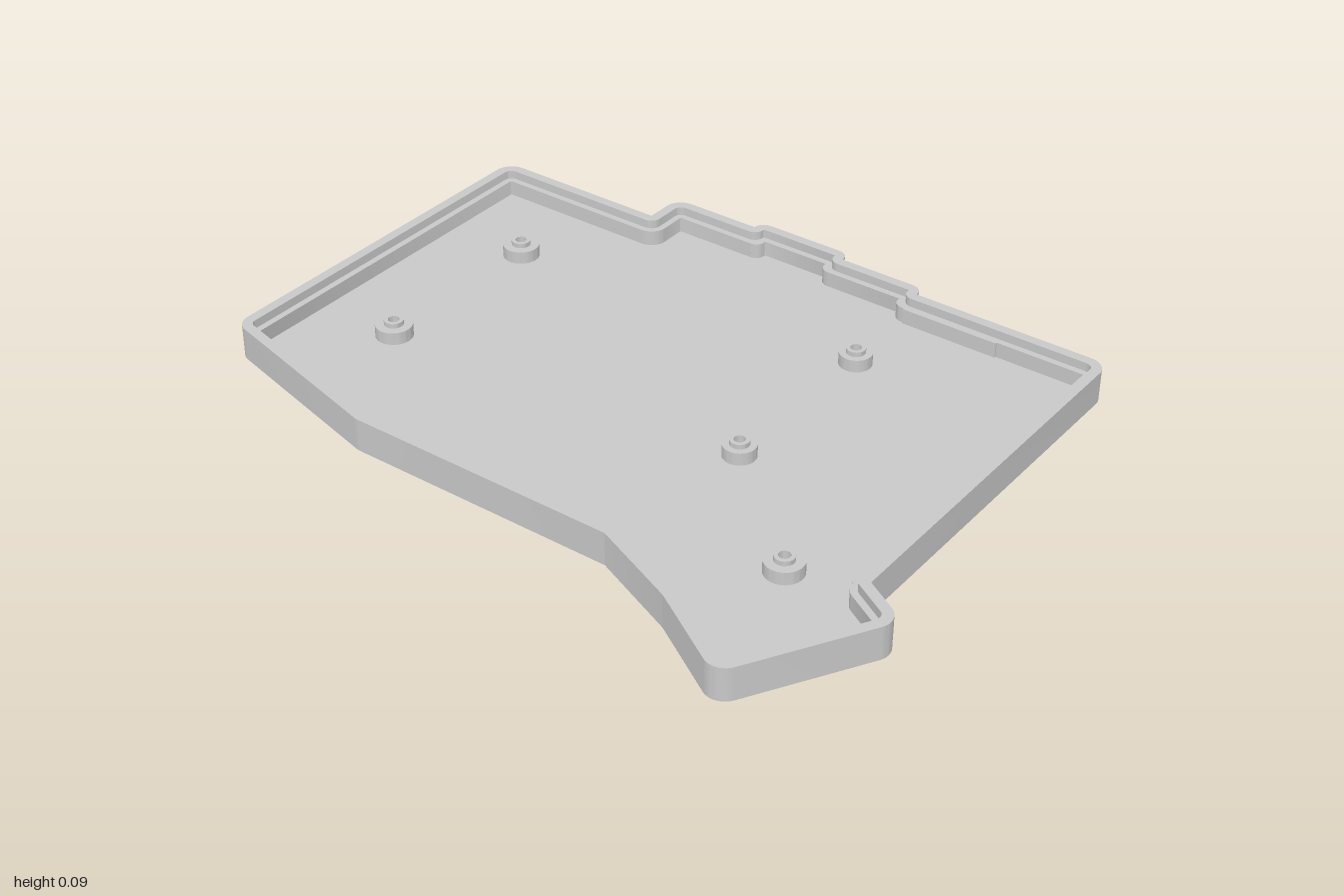
import * as THREE from 'three';
import { toCreasedNormals } from 'three/addons/utils/BufferGeometryUtils.js';

const HEIGHT = 0.092, LEDGE = 0.068, FLOOR = 0.025;
const WALL = 0.028, INNER = 0.046, CORNER = 0.05, BORE = 0.015;
const BACK = -0.743, RIGHT = 0.89;

// Sharp outline of the tray as [x, z], starting at the back corner on the -x side
const OUTLINE = [
  [-1, -0.66], [-0.485, -0.66], [-0.485, -0.78], [-0.22, -0.78], [-0.22, -0.812],
  [0.07, -0.812], [0.07, -0.778], [0.325, -0.778], [0.325, BACK], [RIGHT, BACK],
  [RIGHT, 0.363], [1.018, 0.437], [0.791, 0.823], [0.55, 0.675], [0.31, 0.574],
  [-0.455, 0.574], [-1, 0.434],
].map(([x, z]) => new THREE.Vector2(x, -z));

// Screw posts as [x, z, radius]
const POSTS = [
  [-0.712, -0.366, 0.05], [-0.712, 0.154, 0.05], [0.323, -0.455, 0.044],
  [0.323, 0.06, 0.044], [0.668, 0.374, 0.05],
];

// Outline moved inward by d, with rounded corners; it runs clockwise
function outlinePoints(d) {
  const n = OUTLINE.length;
  const path = new THREE.Path();
  OUTLINE.forEach((p, i) => {
    const a = p.clone().sub(OUTLINE[(i + n - 1) % n]);
    const b = OUTLINE[(i + 1) % n].clone().sub(p);
    const limit = Math.min(CORNER, a.length() * 0.97, b.length() * 0.97);
    a.normalize();
    b.normalize();
    const convex = a.cross(b) < 0;
    const radius = convex ? Math.max(limit - d, 0.002) : THREE.MathUtils.clamp(d, 0.001, limit - 0.004);

    // inward normals of both edges, moved corner, and the arc's centre
    const na = new THREE.Vector2(a.y, -a.x), nb = new THREE.Vector2(b.y, -b.x);
    const corner = na.clone().add(nb).multiplyScalar(d / (1 + na.dot(nb))).add(p);
    const reach = radius * Math.tan(Math.acos(a.dot(b)) / 2);
    const side = convex ? 1 : -1;
    const centre = corner.addScaledVector(a, -reach).addScaledVector(na, side * radius);
    const from = na.multiplyScalar(-side).angle(), to = nb.multiplyScalar(-side).angle();
    path.absarc(centre.x, centre.y, radius, from, to, convex);
  });
  path.closePath();
  return path.getPoints(6);
}

// Upright slab from a plan shape, standing on y = 0
function slab(shape, height) {
  const geometry = new THREE.ExtrudeGeometry(shape, { depth: height, bevelEnabled: false, curveSegments: 24 });
  geometry.rotateX(-Math.PI / 2);
  return toCreasedNormals(geometry, 0.6);
}

// Wall between two offsets; the hole runs against the outline so its faces look inward
function ring(outer, inner, height) {
  const shape = new THREE.Shape(outlinePoints(outer));
  shape.holes.push(new THREE.Path(outlinePoints(inner).reverse()));
  return slab(shape, height);
}

export function createModel() {
  const model = new THREE.Group();
  model.name = 'caseTray';
  const grey = new THREE.MeshStandardMaterial({ color: 0xc8c8c8 });
  grey.name = 'grey';

  const add = (name, geometry) => {
    const mesh = new THREE.Mesh(geometry, grey);
    mesh.name = name;
    model.add(mesh);
    return mesh;
  };

  // Outer wall and the lower ledge just inside it
  add('outerWall', ring(0, WALL, HEIGHT));
  add('innerLedge', ring(WALL, INNER, LEDGE));

  // Slight thickening of the ledge along part of the back and right walls
  const rise = LEDGE - FLOOR, thick = 0.005;
  add('backLedgeStrip', new THREE.BoxGeometry(0.28, rise, thick))
    .position.set(0.455, FLOOR + rise / 2, BACK + INNER + thick / 2);
  add('sideLedgeStrip', new THREE.BoxGeometry(thick, rise, 0.59))
    .position.set(RIGHT - INNER - thick / 2, FLOOR + rise / 2, 0.065);

  // Floor with through holes for the screws
  const floor = new THREE.Shape(outlinePoints(INNER));
  for (const [x, z] of POSTS) {
    floor.holes.push(new THREE.Path().absarc(x, -z, BORE, 0, Math.PI * 2, false));
  }
  add('floor', slab(floor, FLOOR));

  // Hollow stepped posts: wide base with a narrow collar on top
  POSTS.forEach(([x, z, r], i) => {
    const profile = [
      [BORE, FLOOR], [BORE, 0.073], [0.026, 0.073], [0.026, 0.06], [r, 0.06], [r, FLOOR],
    ].reverse().map(([px, py]) => new THREE.Vector2(px, py));
    const geometry = toCreasedNormals(new THREE.LatheGeometry(profile, 48), 0.6);
    add(`screwPost${i + 1}`, geometry).position.set(x, 0, z);
  });

  return model;
}
